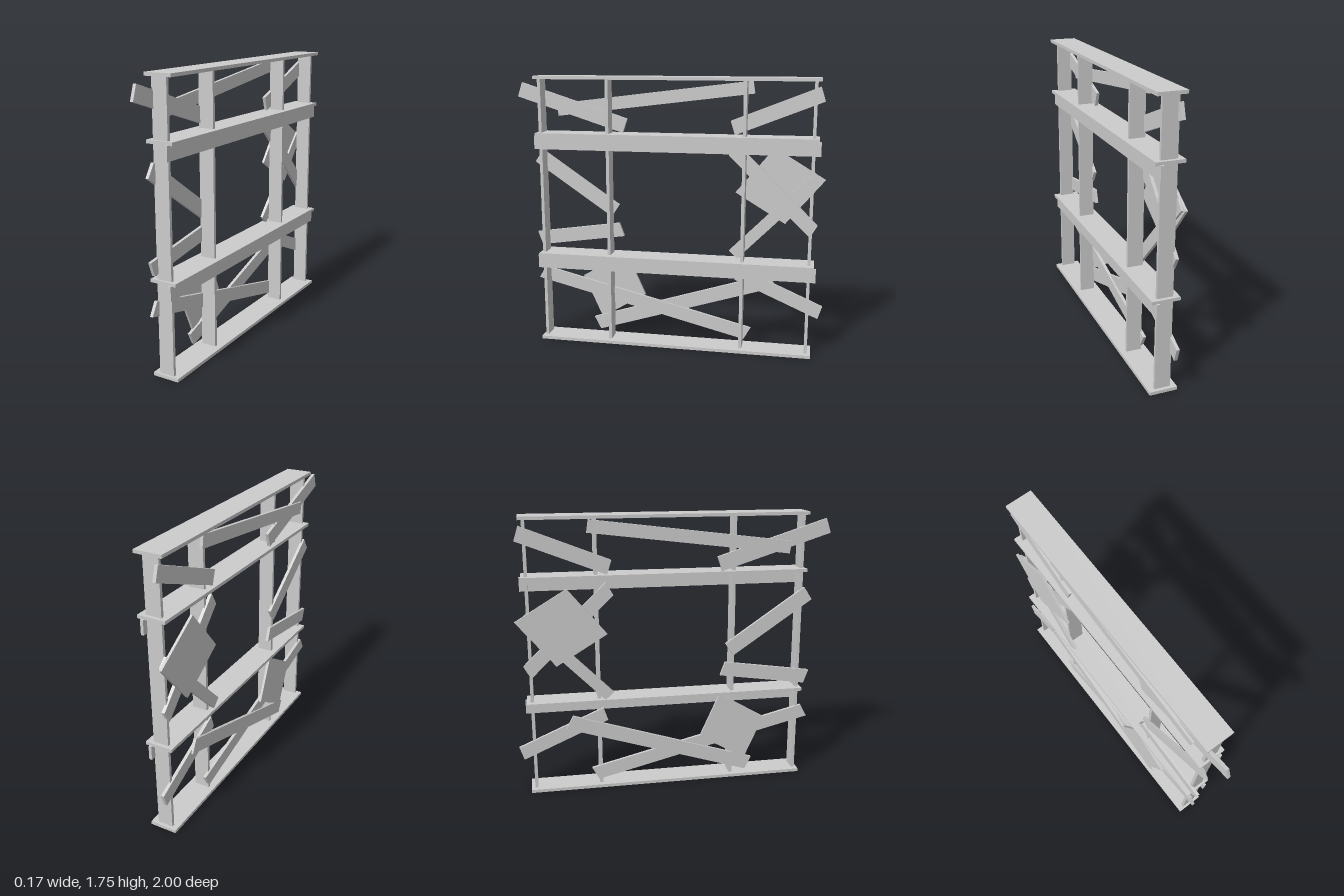
import * as THREE from 'three';

const material = new THREE.MeshStandardMaterial({ color: 0xcccccc, flatShading: true });

// Axis-aligned box given by its ranges.
function block(name, [x0, x1], [y0, y1], [z0, z1]) {
  const mesh = new THREE.Mesh(new THREE.BoxGeometry(x1 - x0, y1 - y0, z1 - z0), material);
  mesh.position.set((x0 + x1) / 2, (y0 + y1) / 2, (z0 + z1) / 2);
  mesh.name = name;
  return mesh;
}

// Skewed plank in the z/y plane: end midpoints a and b, width vector w, all as [z, y].
function plank(name, a, b, w, x, thickness = 0.02) {
  const [az, ay] = [b[0] - a[0], b[1] - a[1]];
  const s = w[1] * az - w[0] * ay > 0 ? 1 : -1; // keeps faces outward
  const geometry = new THREE.BoxGeometry(thickness, 1, 1);
  const p = geometry.attributes.position;
  for (let i = 0; i < p.count; i++) {
    const across = p.getY(i) * s;
    const along = p.getZ(i) + 0.5;
    p.setXYZ(i, p.getX(i) + x, a[1] + ay * along + w[1] * across, a[0] + az * along + w[0] * across);
  }
  geometry.computeVertexNormals();
  const mesh = new THREE.Mesh(geometry, material);
  mesh.name = name;
  return mesh;
}

export function createModel() {
  const model = new THREE.Group();
  model.name = 'boardedFrame';

  // Horizontal shelves
  for (const [y0, y1] of [[0, 0.02], [0.58, 0.6], [1.372, 1.392], [1.73, 1.75]])
    model.add(block('shelf', [-0.086, 0.086], [y0, y1], [-0.937, 0.845]));

  // Upright posts
  for (const z of [0.82, 0.378, -0.487, -0.905])
    model.add(block('post', [-0.05, 0.047], [0.01, 1.74], [z - 0.01, z + 0.01]));

  // Rails under the two middle shelves
  for (const y of [0.495, 1.286])
    model.add(block('rail', [0.042, 0.061], [y, y + 0.088], [-0.949, 0.858]));

  // Loose boards nailed across the back, in two layers
  const inner = -0.051, outer = -0.063;
  const boards = [
    [[0.981, 1.658], [0.283, 1.436], [-0.03, 0.09], inner],
    [[0.733, 1.53], [-0.532, 1.687], [0.012, 0.078], outer],
    [[-0.949, 1.65], [-0.406, 1.436], [0.028, 0.088], inner],
    [[0.866, 1.23], [0.353, 0.88], [-0.052, 0.08], inner],
    [[0.878, 0.671], [0.312, 0.754], [0.032, 0.087], inner],
    [[-0.407, 1.305], [-0.925, 0.797], [-0.045, 0.08], inner],
    [[-0.422, 0.62], [-0.941, 1.147], [0.053, 0.05], outer],
    [[0.872, 0.433], [-0.524, 0.09], [-0.044, 0.08], inner],
    [[0.492, 0.088], [-0.679, 0.457], [0.043, 0.083], outer],
    [[-0.986, 0.265], [-0.449, 0.497], [-0.027, 0.083], inner],
  ];
  for (const b of boards) model.add(plank('board', ...b));

  // Wide panels over the boards
  model.add(plank('panel', [-0.548, 1.171], [-0.866, 0.979], [-0.24, 0.289], -0.074, 0.016));
  model.add(plank('panel', [0.524, 0.273], [0.225, 0.449], [0.128, 0.283], -0.074, 0.016));

  return model;
}
